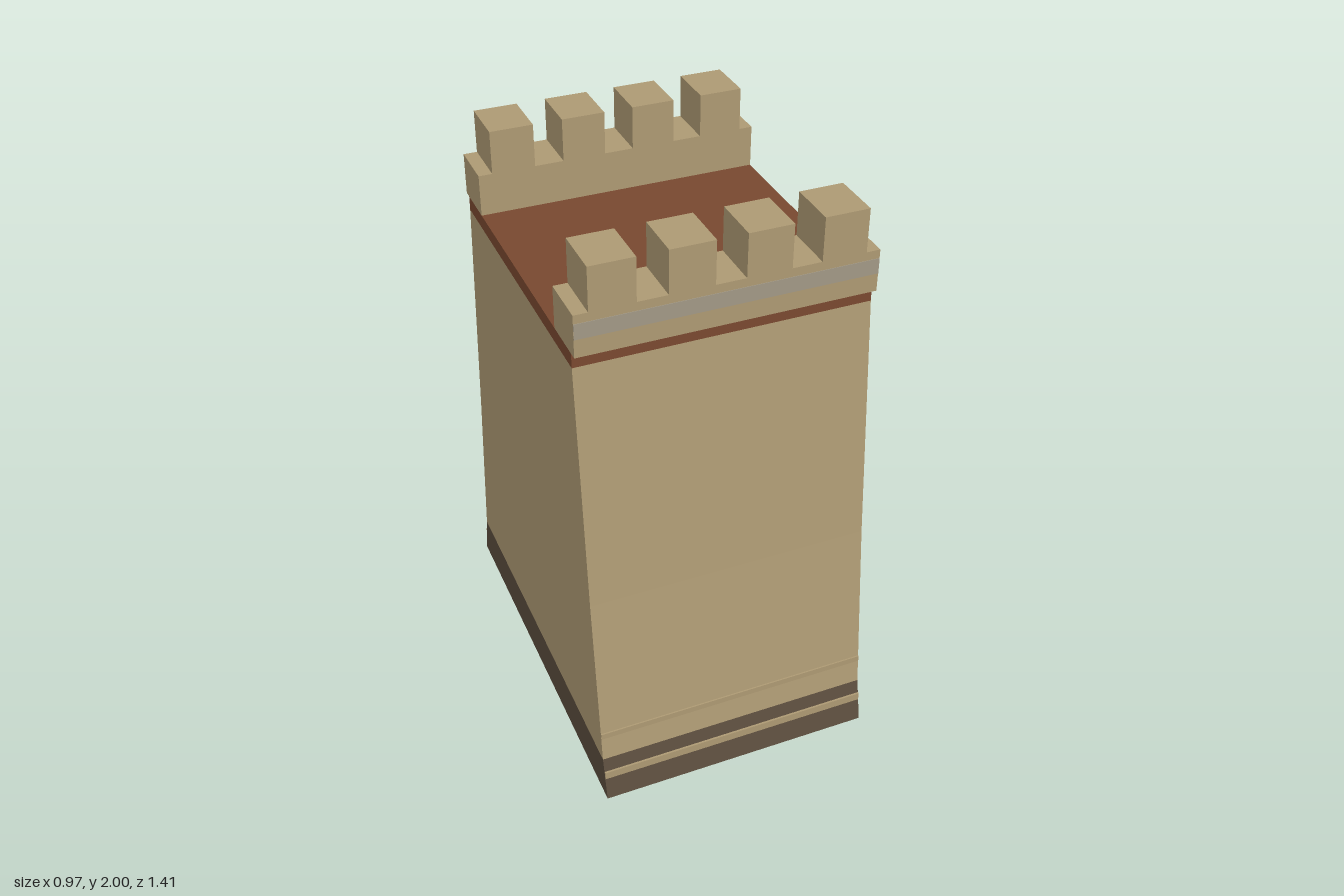
import * as THREE from 'three';

const HALF_W = 0.485;

const mat = (name, color) => {
  const m = new THREE.MeshStandardMaterial({ color });
  m.name = name;
  return m;
};

// Symmetric slab: [half depth, height] pairs from bottom to top, extruded across x
function taperedSlab(profile) {
  const right = profile.map(([z, y]) => new THREE.Vector2(z, y));
  const left = profile.map(([z, y]) => new THREE.Vector2(-z, y)).reverse();
  const geo = new THREE.ExtrudeGeometry(new THREE.Shape([...right, ...left]), {
    depth: HALF_W * 2, bevelEnabled: false,
  });
  return geo.translate(0, 0, -HALF_W).rotateY(Math.PI / 2);
}

export function createModel() {
  const stone = mat('sandstone', 0xb09c75);
  const dark = mat('darkStone', 0x5c4e3e);
  const brick = mat('redBrown', 0x7a4930);
  const grey = mat('greyStone', 0xa49b88);

  const tower = new THREE.Group();
  tower.name = 'tower';

  const add = (parent, name, geo, material) => {
    const mesh = new THREE.Mesh(geo, material);
    mesh.name = name;
    parent.add(mesh);
    return mesh;
  };
  const box = (parent, name, material, w, y0, y1, z0, z1, x = 0) =>
    add(parent, name, new THREE.BoxGeometry(w, y1 - y0, z1 - z0), material)
      .position.set(x, (y0 + y1) / 2, (z0 + z1) / 2);

  // Battered body: plinth, curved wall and roof deck
  add(tower, 'plinth', taperedSlab([[0.706, 0], [0.67, 0.16]]), dark);
  add(tower, 'wall', taperedSlab([[0.67, 0.16], [0.595, 0.8], [0.512, 1.66]]), stone);
  add(tower, 'roofDeck', taperedSlab([[0.512, 1.66], [0.51, 1.71]]), brick);

  // Matching mouldings and battlements at front and back
  for (const side of ['front', 'back']) {
    const face = new THREE.Group();
    face.name = side + 'Battlement';
    if (side === 'back') face.rotation.y = Math.PI;
    tower.add(face);

    const trimW = HALF_W * 2 - 0.001;
    box(face, 'plinthStripe', stone, trimW, 0.08, 0.11, 0.682, 0.689);
    box(face, 'wallLedge', stone, trimW, 0.25, 0.272, 0.655, 0.662);

    box(face, 'parapet', stone, HALF_W * 2, 1.71, 1.853, 0.366, 0.538);
    box(face, 'parapetStripe', grey, trimW, 1.772, 1.824, 0.537, 0.54);
    for (let i = 0; i < 4; i++) {
      box(face, 'merlon', stone, 0.146, 1.853, 2, 0.366, 0.538, (i - 1.5) * 0.244);
    }
  }
  return tower;
}
